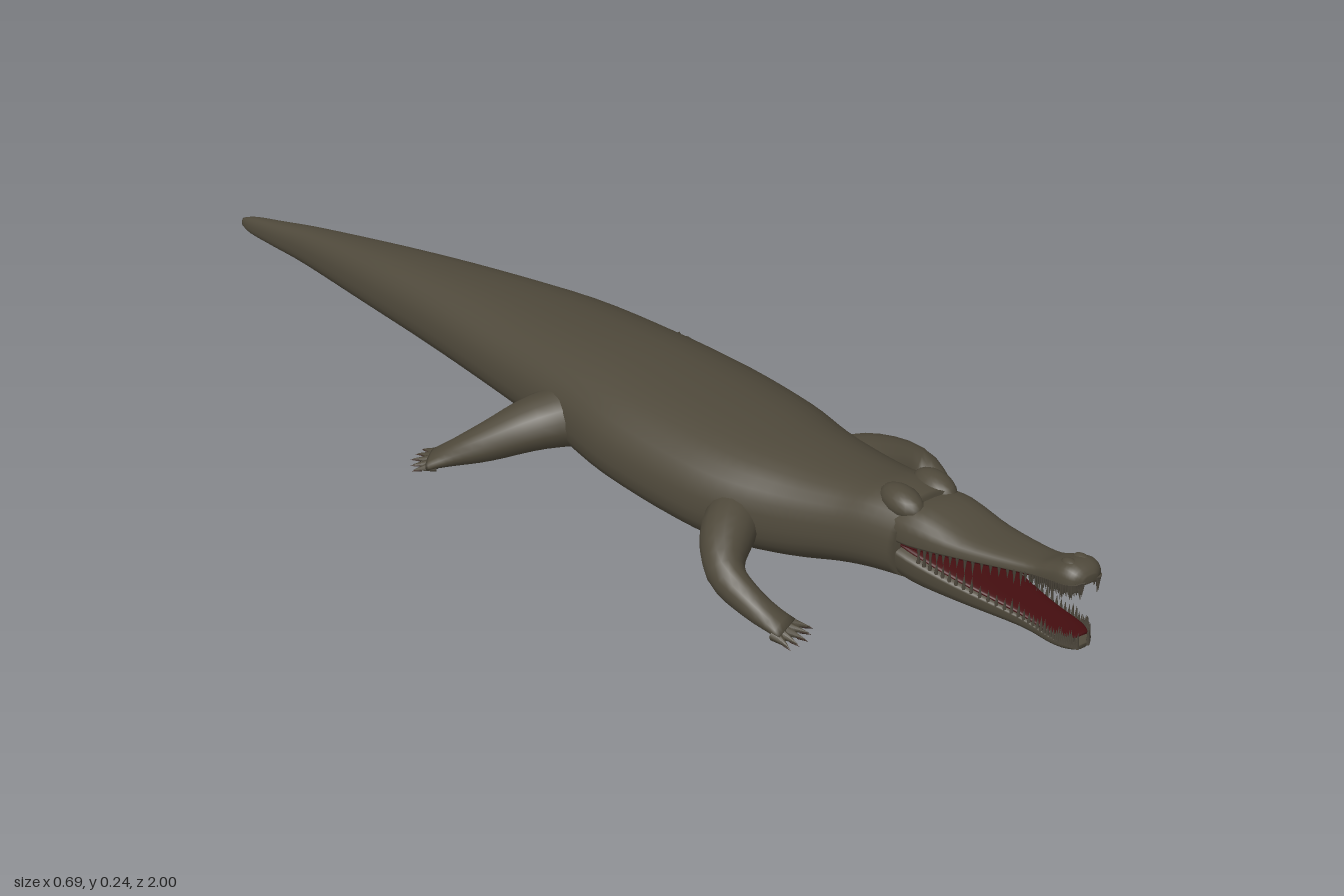
import * as THREE from 'three';
import { mergeGeometries } from 'three/addons/utils/BufferGeometryUtils.js';

const mat = (name, color) => {
  const m = new THREE.MeshStandardMaterial({ color });
  m.name = name;
  return m;
};

// Adds smooth in-between rows to a table of cross-sections (Catmull-Rom per column)
function refine(rows, steps = 4) {
  const out = [];
  for (let i = 0; i < rows.length - 1; i++) {
    const [a, b, c, d] = [-1, 0, 1, 2].map(k => rows[THREE.MathUtils.clamp(i + k, 0, rows.length - 1)]);
    for (let s = 0; s < steps; s++) {
      const t = s / steps;
      out.push(b.map((v, k) => v + 0.5 * t * (c[k] - a[k] +
        t * (2 * a[k] - 5 * v + 4 * c[k] - d[k] + t * (3 * (v - c[k]) + d[k] - a[k])))));
    }
  }
  out.push(rows[rows.length - 1]);
  return out;
}

// Skins closed rings: each section has centre, side and up axes, half width, height above and below
function loft(sections, n = 24) {
  const pos = [], idx = [];
  for (const { c, side, up, w, hi, lo, e = 1 } of sections) {
    for (let j = 0; j < n; j++) {
      const a = (j / n) * Math.PI * 2, co = Math.cos(a), si = Math.sin(a);
      const p = c.clone()
        .addScaledVector(side, w * Math.sign(co) * Math.abs(co) ** e)
        .addScaledVector(up, (si > 0 ? hi : lo) * Math.sign(si) * Math.abs(si) ** e);
      pos.push(p.x, p.y, p.z);
    }
  }
  const m = sections.length, last = (m - 1) * n;
  for (let i = 0; i < m - 1; i++) for (let j = 0; j < n; j++) {
    const a = i * n + j, b = i * n + (j + 1) % n;
    idx.push(a, b, b + n, a, b + n, a + n);
  }
  for (const s of [sections[0], sections[m - 1]]) pos.push(s.c.x, s.c.y, s.c.z);
  for (let j = 0; j < n; j++) {
    const k = (j + 1) % n;
    idx.push(m * n, k, j, m * n + 1, last + j, last + k);
  }
  const g = new THREE.BufferGeometry();
  g.setAttribute('position', new THREE.Float32BufferAttribute(pos, 3));
  g.setIndex(idx);
  g.computeVertexNormals();
  return g;
}

const X = new THREE.Vector3(1, 0, 0), Y = new THREE.Vector3(0, 1, 0);

// Slices along z from rows of [z, centre x, half width, bottom, top]; mid places the widest level
const slices = (rows, mid, e) => rows.map(([z, x, w, bottom, top]) => {
  const y = bottom + (top - bottom) * mid;
  return { c: new THREE.Vector3(x, y, z), side: X, up: Y, w, hi: top - y, lo: y - bottom, e };
});

// Limb from rows of [x, y, z, half width, half height]
function limb(rows) {
  const pts = refine(rows);
  return loft(pts.map((p, i) => {
    const q = pts[Math.max(i - 1, 0)], r = pts[Math.min(i + 1, pts.length - 1)];
    const t = new THREE.Vector3(r[0] - q[0], r[1] - q[1], r[2] - q[2]).normalize();
    const side = Y.clone().cross(t).normalize();
    return { c: new THREE.Vector3(p[0], p[1], p[2]), side, up: t.clone().cross(side), w: p[3], hi: p[4], lo: p[4] };
  }), 16);
}

// Cone with its base at one point and its tip at another
function spike(from, to, r, sides = 5) {
  const d = to.clone().sub(from), len = d.length();
  const g = new THREE.ConeGeometry(r, len, sides);
  g.translate(0, len / 2, 0);
  g.applyQuaternion(new THREE.Quaternion().setFromUnitVectors(Y, d.normalize()));
  return g.translate(from.x, from.y, from.z);
}

const BODY = [
  [-1, -0.178, 0.006, 0.018, 0.036], [-0.97, -0.171, 0.014, 0.012, 0.048], [-0.9, -0.156, 0.022, 0.012, 0.065],
  [-0.8, -0.133, 0.034, 0.012, 0.088], [-0.6, -0.094, 0.064, 0.012, 0.128], [-0.4, -0.05, 0.097, 0.012, 0.157],
  [-0.2, -0.008, 0.132, 0.012, 0.177], [0, 0.015, 0.15, 0.012, 0.196], [0.15, 0.03, 0.168, 0.012, 0.199],
  [0.3, 0.047, 0.165, 0.012, 0.2], [0.4, 0.058, 0.148, 0.014, 0.2], [0.5, 0.08, 0.122, 0.03, 0.203],
  [0.58, 0.096, 0.1, 0.055, 0.212], [0.64, 0.107, 0.088, 0.07, 0.224], [0.7, 0.118, 0.076, 0.079, 0.225]];
const UPPER = [
  [0.67, 0.113, 0.07, 0.156, 0.214], [0.72, 0.122, 0.071, 0.158, 0.221], [0.8, 0.138, 0.057, 0.173, 0.207],
  [0.9, 0.16, 0.037, 0.19, 0.213], [0.94, 0.168, 0.035, 0.197, 0.228], [0.97, 0.172, 0.036, 0.203, 0.239],
  [0.99, 0.173, 0.029, 0.207, 0.235], [1, 0.173, 0.014, 0.212, 0.225]];
const LOWER = [
  [0.67, 0.113, 0.07, 0.088, 0.158], [0.72, 0.122, 0.071, 0.081, 0.15], [0.8, 0.138, 0.056, 0.082, 0.132],
  [0.9, 0.16, 0.036, 0.085, 0.115], [0.96, 0.17, 0.033, 0.085, 0.107], [0.985, 0.172, 0.023, 0.087, 0.105],
  [0.997, 0.172, 0.01, 0.092, 0.1]];

const LEGS = {
  frontLeftLeg: [[0.13, 0.1, 0.395, 0.045, 0.045], [0.22, 0.095, 0.405, 0.046, 0.044], [0.3, 0.07, 0.435, 0.034, 0.034],
    [0.312, 0.04, 0.5, 0.024, 0.024], [0.306, 0.014, 0.56, 0.028, 0.012]],
  frontRightLeg: [[-0.02, 0.1, 0.4, 0.045, 0.045], [-0.085, 0.09, 0.445, 0.045, 0.044], [-0.132, 0.065, 0.505, 0.031, 0.034],
    [-0.125, 0.038, 0.57, 0.024, 0.024], [-0.1, 0.014, 0.625, 0.028, 0.012]],
  hindLeftLeg: [[0.08, 0.09, 0.01, 0.06, 0.055], [0.155, 0.075, -0.05, 0.055, 0.048], [0.21, 0.045, -0.115, 0.037, 0.032],
    [0.24, 0.022, -0.175, 0.028, 0.016], [0.252, 0.011, -0.215, 0.033, 0.01]],
  hindRightLeg: [[-0.06, 0.09, 0.02, 0.06, 0.06], [-0.15, 0.082, -0.01, 0.054, 0.045], [-0.23, 0.05, -0.048, 0.037, 0.032],
    [-0.28, 0.025, -0.085, 0.03, 0.018], [-0.302, 0.011, -0.107, 0.035, 0.01]],
};

export function createModel() {
  const hide = mat('hide', 0x4f493b), flesh = mat('mouth flesh', 0x430d0f);
  const bone = mat('teeth', 0x4c463b), horn = mat('claws', 0x44342b);
  const model = new THREE.Group();
  model.name = 'crocodile';
  const add = (name, geo, material, parent = model) => {
    const m = new THREE.Mesh(geo, material);
    m.name = name;
    parent.add(m);
    return m;
  };

  // Trunk, neck and tail in one skin
  add('body', loft(slices(refine(BODY), 0.44, 0.85), 32), hide);

  // Jaws are flat on the mouth side, each lined with flesh and edged with teeth
  const jaw = (name, rows, dir) => {
    const fine = refine(rows), face = dir < 0 ? 3 : 4;
    add(name, loft(slices(fine, dir < 0 ? 0.18 : 0.82, 0.75)), hide);
    const lining = fine.slice(0, -4).map(r => [r[0], r[1], r[2] * 0.87, r[face] - 0.004, r[face] + 0.004]);
    add(name + 'Lining', loft(slices(lining, 0.5, 0.6)), flesh);
    const teeth = [];
    for (let i = 5; i < fine.length - 1; i++) for (const s of [-1, 1]) for (const h of [0, 0.5]) {
      const [z, x, w, bottom, top] = fine[i].map((v, k) => v + (fine[i + 1][k] - v) * h);
      const y = dir < 0 ? bottom : top, edge = x + s * w * 0.92;
      const len = (i + h * 2) % 3 === 0 ? 0.024 : 0.016;
      teeth.push(spike(new THREE.Vector3(edge, y - dir * 0.006, z), new THREE.Vector3(edge, y + dir * len, z), 0.0036));
    }
    add(name + 'Teeth', mergeGeometries(teeth), bone);
  };
  jaw('upperJaw', UPPER, -1);
  jaw('lowerJaw', LOWER, 1);

  // Raised brows and nostril bumps, sunk into the skin
  for (const [name, x, y, z, r] of [['leftBrow', 0.148, 0.211, 0.665, 0.03], ['rightBrow', 0.08, 0.211, 0.67, 0.03],
    ['leftNostril', 0.184, 0.23, 0.967, 0.012], ['rightNostril', 0.161, 0.23, 0.967, 0.012]]) {
    const b = add(name, new THREE.SphereGeometry(r, 16, 10), hide);
    b.position.set(x, y, z);
    b.scale.set(0.9, 0.8, 1.5);
  }

  // Legs with splayed toes and claws
  for (const [name, rows] of Object.entries(LEGS)) {
    const leg = new THREE.Group();
    leg.name = name;
    model.add(leg);
    add(name + 'Limb', limb(rows), hide, leg);
    const [a, b] = rows.slice(-2), toes = [], claws = [];
    const heading = Math.atan2(b[0] - a[0], b[2] - a[2]);
    for (let k = -2; k <= 2; k++) {
      const t = heading + k * 0.2;
      const dir = new THREE.Vector3(Math.sin(t), 0, Math.cos(t));
      const base = new THREE.Vector3(b[0] + k * 0.012 * Math.cos(heading), 0.011, b[2] - k * 0.012 * Math.sin(heading))
        .addScaledVector(dir, -0.012);
      const tip = base.clone().addScaledVector(dir, 0.046 - Math.abs(k) * 0.004).setY(0.007);
      toes.push(spike(base, tip, 0.011, 8));
      claws.push(spike(tip.clone().addScaledVector(dir, -0.014), tip.clone().addScaledVector(dir, 0.004).setY(0.004), 0.004));
    }
    add(name + 'Toes', mergeGeometries(toes), hide, leg);
    add(name + 'Claws', mergeGeometries(claws), horn, leg);
  }
  return model;
}
